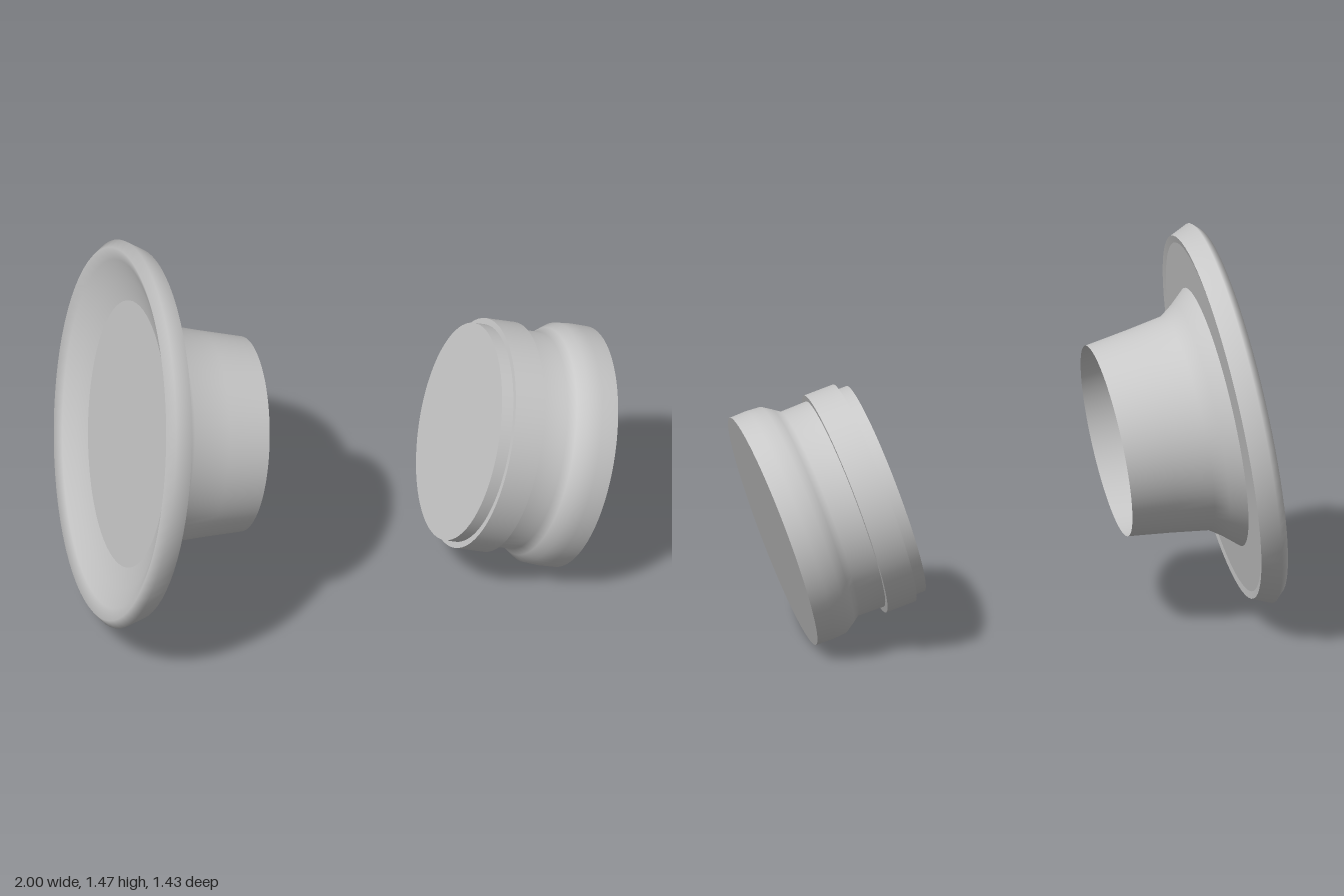
import * as THREE from 'three';

const grey = new THREE.MeshStandardMaterial({ color: 0xc8c8c8 });
grey.name = 'plain grey';
grey.side = THREE.DoubleSide;

// One smooth surface of revolution; profile points are [radius, distance along axis]
function turned(name, profile) {
  const points = profile.map(([r, d]) => new THREE.Vector2(r, d));
  const mesh = new THREE.Mesh(new THREE.LatheGeometry(points, 72), grey);
  mesh.name = name;
  return mesh;
}

// Group whose axis starts at (x, y) and points to +x, dipping by the given degrees
function tilted(name, x, y, dip, parts) {
  const group = new THREE.Group();
  group.name = name;
  group.position.set(x, y, 0);
  group.rotation.z = -Math.PI / 2 - THREE.MathUtils.degToRad(dip);
  for (const [partName, profile] of parts) group.add(turned(partName, profile));
  return group;
}

export function createModel() {
  const model = new THREE.Group();
  model.name = 'flangedSocketAndPlug';

  // Dished flange with an open tapering neck; separate sections keep edges sharp
  model.add(tilted('flangedSocket', -0.885, 0.775, 9.5, [
    ['dishFloor', [[0, 0.07], [0.49, 0.07]]],
    ['dishAndRim', [[0.49, 0.07], [0.57, 0.05], [0.64, 0.018], [0.685, 0], [0.713, 0.03], [0.682, 0.1]]],
    ['rimLip', [[0.682, 0.1], [0.655, 0.095]]],
    ['flangeBack', [[0.655, 0.095], [0.485, 0.095]]],
    ['neck', [[0.49, 0.07], [0.485, 0.095], [0.437, 0.15], [0.402, 0.2], [0.38, 0.34], [0.358, 0.501]]],
  ]));

  // Solid stepped plug with a raised collar and a flared end
  model.add(tilted('plug', 0.4375, 0.5625, 18, [
    ['plugInnerFace', [[0, 0], [0.402, 0]]],
    ['plugTip', [[0.402, 0], [0.402, 0.045]]],
    ['collarInnerStep', [[0.402, 0.045], [0.425, 0.045]]],
    ['collar', [[0.425, 0.045], [0.425, 0.16]]],
    ['collarOuterStep', [[0.425, 0.16], [0.402, 0.16]]],
    ['plugBody', [[0.402, 0.16], [0.4, 0.262], [0.42, 0.29], [0.443, 0.325], [0.447, 0.38], [0.445, 0.444]]],
    ['plugOuterFace', [[0.445, 0.444], [0, 0.444]]],
  ]));

  return model;
}
